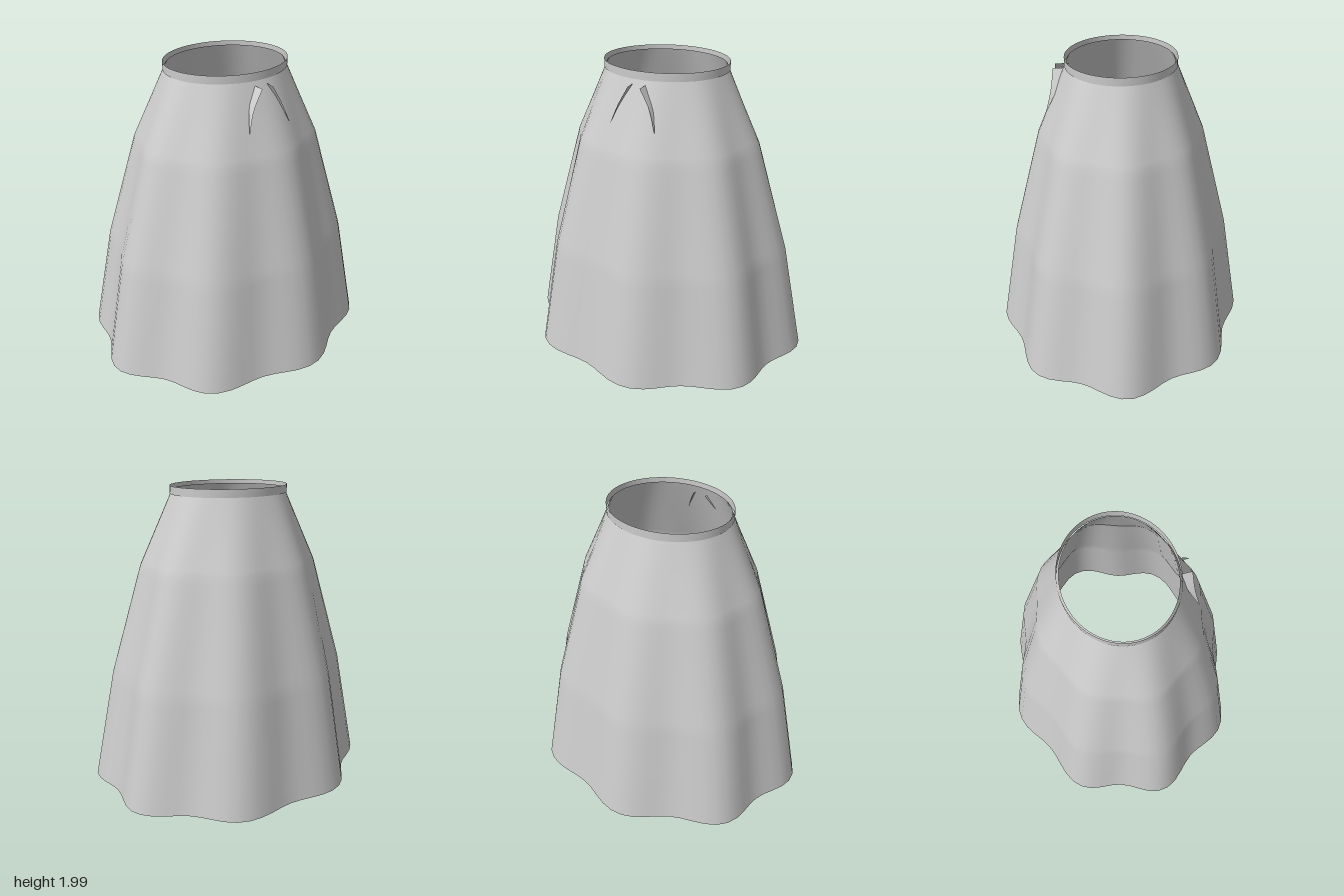
import * as THREE from 'three';

const DEPTH = 0.867; // front-to-back squash of every ring
const FOLDS = 8;
const PHASE = THREE.MathUtils.degToRad(37);

const material = new THREE.MeshStandardMaterial({ color: 0xcccccc, side: THREE.DoubleSide });

// Smooth surface through rows of points; closed rows wrap round
function loft(rows, closed) {
  const n = rows[0].length;
  const index = [];
  for (let r = 0; r < rows.length - 1; r++) {
    for (let i = 0; i < (closed ? n : n - 1); i++) {
      const a = r * n + i, b = r * n + (i + 1) % n;
      index.push(a, a + n, b, b, a + n, b + n);
    }
  }
  const geometry = new THREE.BufferGeometry().setFromPoints(rows.flat());
  geometry.setIndex(index);
  geometry.computeVertexNormals();
  return geometry;
}

// Oval ring whose radius waves in and out by the fold depth
function ring([y, radius, fold], sides = 72) {
  return Array.from({ length: sides }, (_, i) => {
    const t = (i / sides) * Math.PI * 2;
    const r = radius + fold * Math.cos(FOLDS * (t - PHASE));
    return new THREE.Vector3(r * Math.cos(t), y, r * DEPTH * Math.sin(t));
  });
}

// Flared skirt: straight tiers, with close rings keeping the tier breaks tight
function skirtGeometry() {
  const tiers = [[0, 0.962, 0.048], [0.74, 0.825, 0.037], [1.47, 0.622, 0.018], [1.965, 0.402, 0]];
  const rings = [tiers[0]];
  for (let k = 0; k < tiers.length - 1; k++) {
    const mix = f => tiers[k].map((v, j) => THREE.MathUtils.lerp(v, tiers[k + 1][j], f));
    rings.push(mix(0.07), mix(0.5), mix(0.93), tiers[k + 1]);
  }
  return loft(rings.map(r => ring(r)), true);
}

// Curved dart: a fin that tapers to a point as it runs down the front
function dartGeometry(side) {
  const curve = pts => new THREE.CatmullRomCurve3(
    pts.map(([x, y, z]) => new THREE.Vector3(side * x, y, z))).getPoints(12);
  const inner = curve([[0.045, 1.91, 0.345], [0.115, 1.785, 0.405], [0.16, 1.655, 0.468]]);
  const outer = curve([[0.042, 1.905, 0.437], [0.112, 1.78, 0.446], [0.16, 1.65, 0.474]]);
  return loft([inner, outer], false);
}

export function createModel() {
  const group = new THREE.Group();
  const add = (name, geometry) => {
    const mesh = new THREE.Mesh(geometry, material);
    mesh.name = name;
    group.add(mesh);
  };
  add('skirt', skirtGeometry());
  add('waistband', loft([ring([1.937, 0.42, 0]), ring([1.99, 0.42, 0])], true));
  add('leftDart', dartGeometry(1));
  add('rightDart', dartGeometry(-1));
  return group;
}
